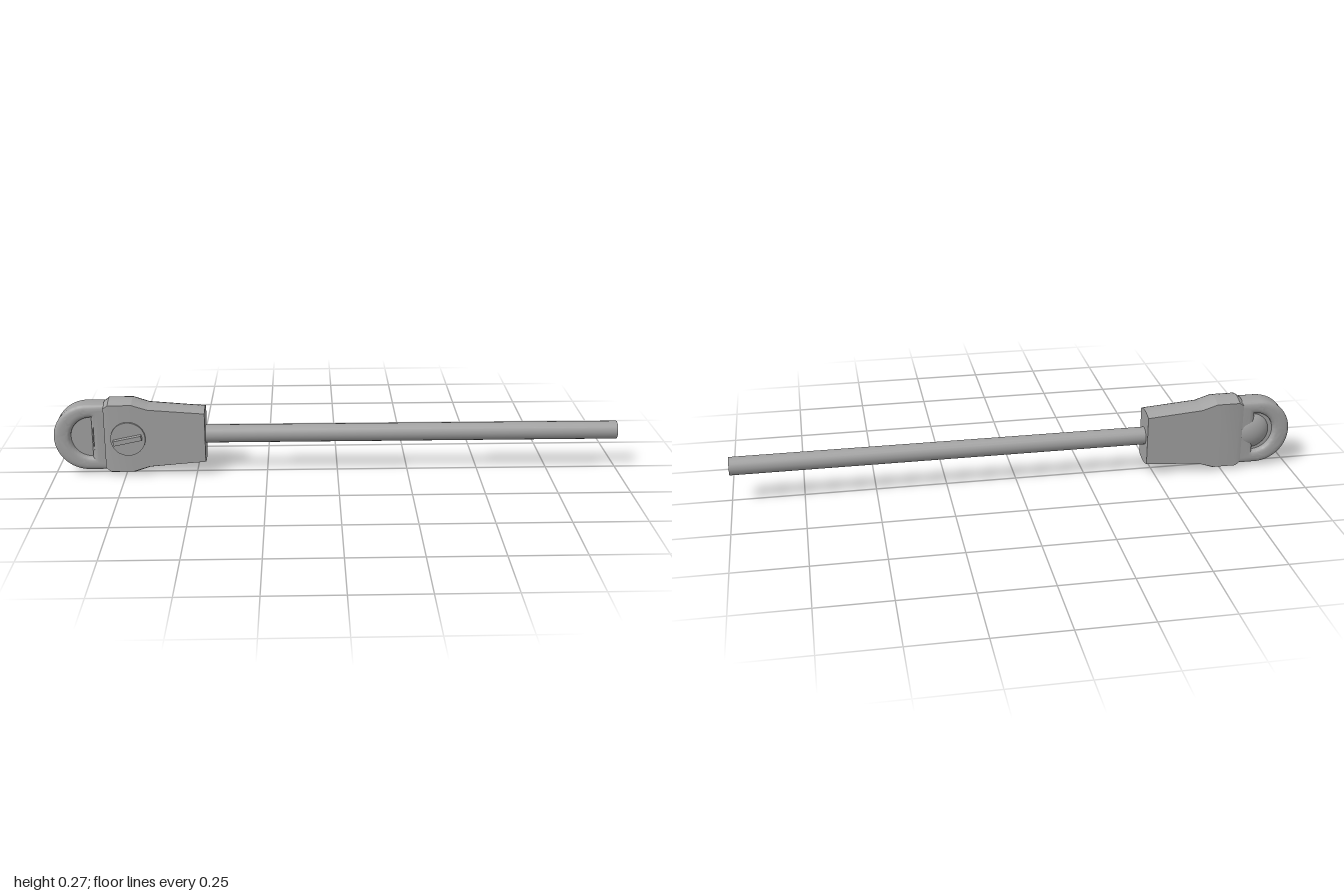
import * as THREE from 'three';
import { toCreasedNormals } from 'three/addons/utils/BufferGeometryUtils.js';

const CY = 0.137, CZ = -0.012; // shared axis of rod, housing and loop

// Block lofted along x: each station is [x, half height, half depth, crown rise]
function loft(stations, steps = 6) {
  const pos = [], idx = [];
  const n = 2 * (steps + 1);
  for (const [x, h, d, rise] of stations) {
    for (const side of [1, -1]) {
      for (let i = 0; i <= steps; i++) {
        const t = side * (1 - (2 * i) / steps);
        pos.push(x, side * (h - rise * t * t), d * t);
      }
    }
  }
  for (let s = 0; s < stations.length - 1; s++) {
    for (let i = 0; i < n; i++) {
      const a = s * n + i, b = s * n + (i + 1) % n;
      idx.push(a, a + n, b, b, a + n, b + n);
    }
  }
  // End caps
  const last = (stations.length - 1) * n, c = stations.length * n;
  pos.push(stations[0][0], 0, 0, stations[stations.length - 1][0], 0, 0);
  for (let i = 0; i < n; i++) {
    const j = (i + 1) % n;
    idx.push(c, i, j, c + 1, last + j, last + i);
  }
  const g = new THREE.BufferGeometry();
  g.setAttribute('position', new THREE.Float32BufferAttribute(pos, 3));
  g.setIndex(idx);
  return toCreasedNormals(g, 0.25);
}

// D outline: half disc on the left, closed by a straight edge at x = right
function dOutline(target, cx, r, right) {
  target.moveTo(right, r);
  target.lineTo(cx, r);
  target.absarc(cx, 0, r, Math.PI / 2, Math.PI * 1.5, false);
  target.lineTo(right, -r);
  target.closePath();
  return target;
}

export function createModel() {
  const group = new THREE.Group();
  const grey = new THREE.MeshStandardMaterial({ color: 0xa2a2a2 });
  grey.name = 'grey';
  const add = (name, geometry, x, y, z) => {
    const m = new THREE.Mesh(geometry, grey);
    m.name = name;
    m.position.set(x, y, z);
    group.add(m);
    return m;
  };

  // Long round rod
  const rodGeo = new THREE.CylinderGeometry(0.032, 0.032, 1.48, 20);
  rodGeo.rotateZ(Math.PI / 2);
  add('rod', rodGeo, 0.26, CY, CZ + 0.002);

  // Tapered housing with crowned top and bottom
  add('housing', loft([
    [-0.82, 0.124, 0.046, 0.014],
    [-0.803, 0.1365, 0.05, 0.014],
    [-0.72, 0.1365, 0.05, 0.014],
    [-0.665, 0.117, 0.05, 0.012],
    [-0.467, 0.099, 0.05, 0.01],
  ]), 0, CY, CZ);

  // Rounded end loop with a D opening
  const bevel = 0.02;
  const loopShape = dOutline(new THREE.Shape(), -0.88, 0.12 - bevel, -0.8);
  const loopGeo = new THREE.ExtrudeGeometry(loopShape, {
    depth: 0.044, bevelThickness: bevel, bevelSize: bevel, bevelSegments: 4, curveSegments: 20,
  });
  // The opening is cut in straight, so the ring is built from a shape with a hole
  const ringShape = dOutline(new THREE.Shape(), -0.88, 0.12 - bevel, -0.8);
  ringShape.holes.push(dOutline(new THREE.Path(), -0.867, 0.082 + 0.012, -0.845));
  loopGeo.dispose();
  const ringGeo = new THREE.ExtrudeGeometry(ringShape, {
    depth: 0.06, bevelThickness: 0.012, bevelSize: bevel, bevelSegments: 4, curveSegments: 20,
  });
  // Keep the hole walls at a constant, slightly flared offset inside the rim
  add('endLoop', toCreasedNormals(ringGeo, 0.6), 0, CY, CZ - 0.03 - 0.002);

  // Recessed web closing the opening
  const webGeo = new THREE.ExtrudeGeometry(dOutline(new THREE.Shape(), -0.867, 0.09, -0.835), {
    depth: 0.04, bevelEnabled: false, curveSegments: 20,
  });
  add('web', webGeo, 0, CY, CZ - 0.022);

  // Half dome bulging on both faces, cut flat towards the housing
  const domeGeo = new THREE.SphereGeometry(1, 24, 16, -Math.PI / 2, Math.PI);
  domeGeo.rotateY(-Math.PI / 2);
  domeGeo.scale(0.075, 0.073, 0.05);
  add('dome', domeGeo, -0.858, CY, CZ - 0.002);
  const domeCap = new THREE.CircleGeometry(1, 32);
  domeCap.scale(0.05, 0.073, 1);
  domeCap.rotateY(Math.PI / 2);
  add('domeCap', domeCap, -0.858, CY, CZ - 0.002);

  // Turn knob on the front: disc and tilted grip bar
  const discGeo = new THREE.CylinderGeometry(0.061, 0.062, 0.012, 32);
  discGeo.rotateX(Math.PI / 2);
  add('knobDisc', discGeo, -0.737, CY, 0.039);
  const bar = add('knobGrip', new THREE.BoxGeometry(0.1, 0.017, 0.024), -0.737, CY, 0.053);
  bar.rotation.z = 0.2;

  return group;
}
